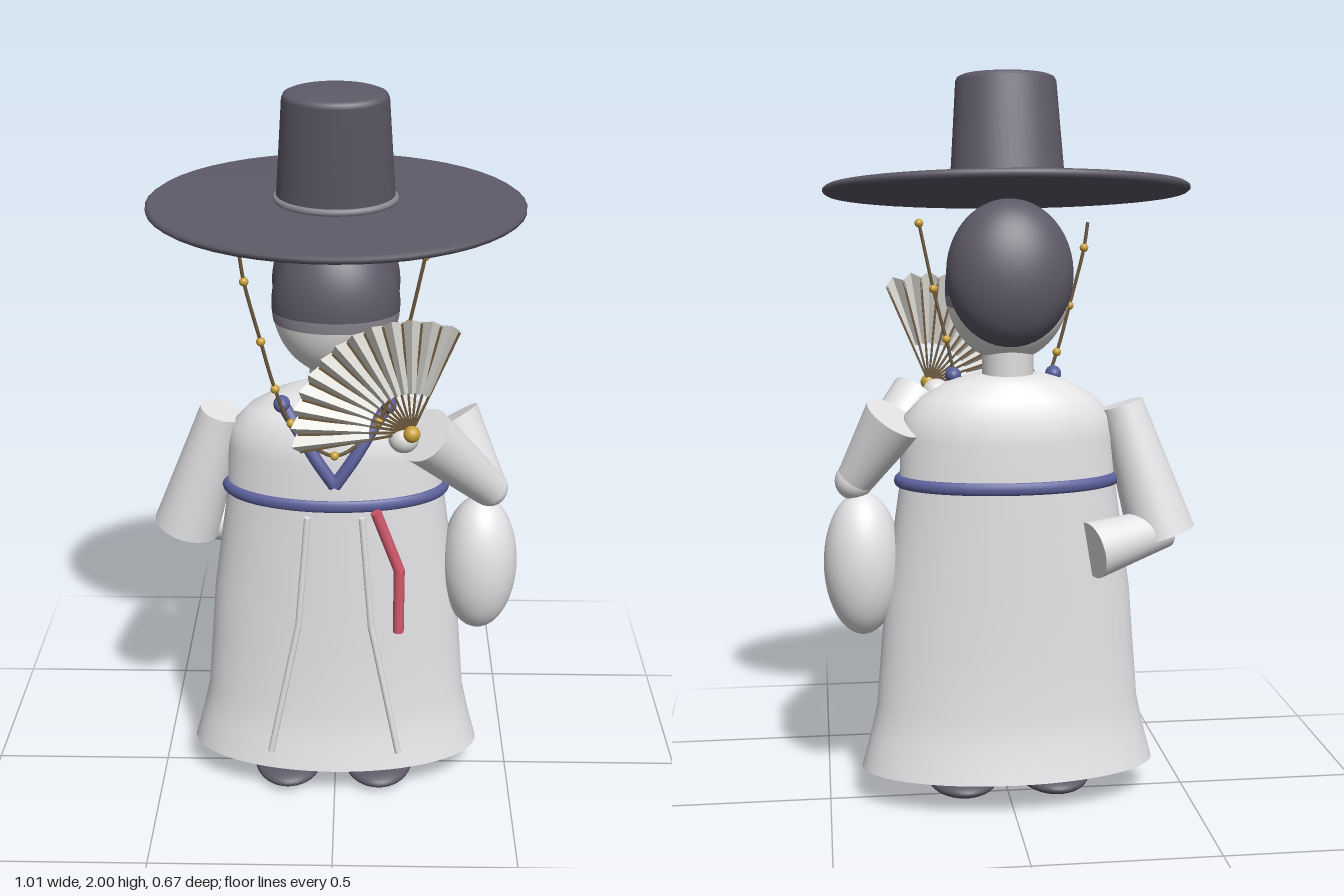
import * as THREE from 'three';
import { mergeVertices } from 'three/addons/utils/BufferGeometryUtils.js';

const V = (x, y, z) => new THREE.Vector3(x, y, z);
const mat = (name, color, side = THREE.FrontSide) => {
  const m = new THREE.MeshStandardMaterial({ color, side });
  m.name = name;
  return m;
};

export function createModel() {
  const root = new THREE.Group();
  const charcoal = mat('charcoal', 0x5d5866);
  const white = mat('robeWhite', 0xe4e4e7);
  const skin = mat('paleSkin', 0xdfdedd);
  const blue = mat('trimBlue', 0x5c619c);
  const pink = mat('ribbonPink', 0xd0586c);
  const gold = mat('beadGold', 0xc9a03a);
  const brown = mat('ribBrown', 0x6b583c);
  const paper = mat('fanPaper', 0xdcdad4, THREE.DoubleSide);
  const grey = mat('bandGrey', 0x8a8690);

  const add = (name, geo, material, parent = root) => {
    const m = new THREE.Mesh(geo, material);
    m.name = name;
    parent.add(m);
    return m;
  };
  const ellipsoid = (name, c, r, material, t0 = 0, t1 = Math.PI) => {
    const m = add(name, new THREE.SphereGeometry(1, 40, 24, 0, Math.PI * 2, t0, t1 - t0), material);
    m.position.set(...c);
    m.scale.set(...r);
    return m;
  };
  // tapered cylinder between two points
  const limb = (name, a, b, ra, rb, material, sides = 32) => {
    const d = b.clone().sub(a);
    const m = add(name, new THREE.CylinderGeometry(rb, ra, d.length(), sides), material);
    m.position.copy(a).addScaledVector(d, 0.5);
    m.quaternion.setFromUnitVectors(V(0, 1, 0), d.normalize());
    return m;
  };
  // elliptical loft through rows of [y, halfWidth, halfDepth]
  const loft = (rows) => {
    const g = new THREE.LatheGeometry(rows.map(r => new THREE.Vector2(1, r[0])), 64, Math.PI);
    const p = g.attributes.position;
    for (let i = 0; i < p.count; i++) {
      const [, rx, rz] = rows[i % rows.length];
      p.setXYZ(i, p.getX(i) * rx, p.getY(i), p.getZ(i) * rz);
    }
    g.deleteAttribute('uv');
    g.deleteAttribute('normal');
    const m = mergeVertices(g, 1e-5);
    m.computeVertexNormals();
    return m;
  };

  // robe with flared hem and rounded shoulders
  add('robe', loft([[0.1, 0.41, 0.2], [0.19, 0.386, 0.18], [0.28, 0.366, 0.167], [0.45, 0.352, 0.162],
    [0.6, 0.34, 0.16], [0.9, 0.297, 0.158], [1.03, 0.293, 0.156], [1.09, 0.282, 0.15],
    [1.14, 0.235, 0.13], [1.18, 0.165, 0.1], [1.2, 0.1, 0.075], [1.205, 0.001, 0.001]]), white);
  const hem = add('hemUnderside', new THREE.CircleGeometry(1, 64), white);
  hem.rotation.x = Math.PI / 2;
  hem.scale.set(0.41, 0.2, 1);
  hem.position.y = 0.1;

  // belt
  const belt = add('belt', new THREE.TorusGeometry(1, 0.055, 12, 64), blue);
  belt.rotation.x = Math.PI / 2;
  belt.scale.set(0.296, 0.16, 0.31);
  belt.position.y = 0.912;

  // crossed collar and hanging cords, both sides
  for (const s of [-1, 1]) {
    add('collar', new THREE.TubeGeometry(new THREE.CatmullRomCurve3([V(s * 0.145, 1.19, 0.09),
      V(s * 0.1, 1.13, 0.135), V(s * 0.05, 1.05, 0.158), V(0, 0.975, 0.163)]), 20, 0.017, 10), blue);
    ellipsoid('collarEnd', [s * 0.14, 1.185, 0.105], [0.022, 0.022, 0.03], blue);
    const pts = [V(s * 0.073, 0.88, 0.16), V(s * 0.1, 0.55, 0.16), V(s * 0.18, 0.15, 0.172)];
    limb('robeCord', pts[0], pts[1], 0.009, 0.009, white, 10);
    limb('robeCord', pts[1], pts[2], 0.009, 0.009, white, 10);
  }

  // pink sash ribbon
  const sash = [V(0.11, 0.905, 0.175), V(0.175, 0.73, 0.172), V(0.175, 0.545, 0.178)];
  for (let i = 0; i < 2; i++) limb('sashRibbon', sash[i], sash[i + 1], 0.015, 0.015, pink, 12);
  ellipsoid('sashBend', [0.175, 0.73, 0.172], [0.015, 0.015, 0.015], pink);

  // shoes
  for (const x of [-0.135, 0.125]) ellipsoid('shoe', [x, 0.04, 0.037], [0.1, 0.034, 0.143], charcoal);

  // neck, face, headband and hair
  limb('neck', V(0, 1.15, 0), V(0, 1.3, 0), 0.07, 0.07, skin);
  const hc = [0, 1.43, 0], hr = [0.168, 0.195, 0.13];
  const theta = y => Math.acos((y - hc[1]) / hr[1]);
  ellipsoid('face', hc, hr, skin, theta(1.385), Math.PI);
  ellipsoid('headband', hc, hr.map(v => v * 1.01), grey, theta(1.415), theta(1.385));
  ellipsoid('hairCap', hc, hr.map(v => v * 1.01), charcoal, 0, theta(1.415));
  const hair = ellipsoid('backHair', [0, 1.475, -0.05], [0.17, 0.197, 0.116], charcoal);
  hair.rotation.x = 0.12;

  // wide brimmed hat, tipped forward
  const hat = new THREE.Group();
  hat.name = 'hat';
  hat.position.set(0, 1.693, 0);
  hat.rotation.x = 0.148;
  root.add(hat);
  const lathe = (pts, sides = 48) => new THREE.LatheGeometry(pts.map(p => new THREE.Vector2(...p)), sides);
  add('hatBrim', lathe([[0, -0.01], [0.48, -0.012], [0.49, -0.005], [0.49, 0.004], [0.48, 0.011], [0, 0.016]]),
    charcoal, hat).scale.z = 0.695;
  add('hatCrown', lathe([[0.155, 0], [0.135, 0.285], [0.13, 0.296], [0.118, 0.301], [0, 0.303]]),
    charcoal, hat).scale.z = 0.68;
  const ring = add('hatCord', new THREE.TorusGeometry(0.152, 0.01, 10, 48), grey, hat);
  ring.rotation.x = Math.PI / 2;
  ring.scale.y = 0.69;
  ring.position.y = 0.022;

  // beaded chin string
  const beads = [[-0.23, 1.53], [-0.19, 1.37], [-0.155, 1.24], [-0.115, 1.145], [0, 1.065],
    [0.115, 1.15], [0.155, 1.28], [0.19, 1.42], [0.228, 1.6]]
    .map(([x, y]) => V(x, y, y < 1.1 ? 0.17 : 0.14));
  add('chinString', new THREE.TubeGeometry(new THREE.CatmullRomCurve3([V(-0.24, 1.6, 0.14), ...beads]), 80, 0.005, 6), brown);
  for (const b of beads) ellipsoid('stringBead', b.toArray(), [0.012, 0.012, 0.012], gold);

  // right arm folded behind the back
  const elbowR = V(-0.42, 0.755, -0.055);
  limb('rightUpperSleeve', V(-0.31, 1.115, -0.02), elbowR, 0.06, 0.093, white);
  limb('rightForeSleeve', V(-0.425, 0.775, -0.06), V(-0.21, 0.735, -0.14), 0.055, 0.078, white);

  // left arm raised, with full hanging sleeve
  const elbowL = V(0.42, 0.91, 0.02);
  limb('leftUpperSleeve', V(0.31, 1.09, -0.035), elbowL, 0.085, 0.05, white);
  limb('leftForeSleeve', elbowL, V(0.235, 1.12, 0.155), 0.052, 0.078, white);
  ellipsoid('leftElbow', elbowL.toArray(), [0.052, 0.052, 0.052], white);
  ellipsoid('hangingSleeve', [0.4, 0.68, 0.015], [0.106, 0.2, 0.106], white);
  ellipsoid('leftHand', [0.18, 1.125, 0.19], [0.04, 0.038, 0.04], skin);

  // pleated folding fan
  const fan = new THREE.Group();
  fan.name = 'fan';
  fan.position.set(0.2, 1.15, 0.218);
  root.add(fan);
  const folds = 26, a0 = 1.17, a1 = 3.34;
  const at = (i, r) => {
    const a = a0 + (a1 - a0) * i / folds, w = (i % 2 ? 1 : -1) * 0.045 * r;
    return [r * Math.cos(a), r * Math.sin(a), w];
  };
  const leaf = [];
  for (let i = 0; i < folds; i++) {
    const R = k => (k % 2 ? 0.312 : 0.298);
    const a = at(i, 0.11), b = at(i, R(i)), c = at(i + 1, R(i + 1)), d = at(i + 1, 0.11);
    leaf.push(...a, ...b, ...c, ...a, ...c, ...d);
  }
  const leafGeo = new THREE.BufferGeometry();
  leafGeo.setAttribute('position', new THREE.Float32BufferAttribute(leaf, 3));
  leafGeo.computeVertexNormals();
  add('fanLeaf', leafGeo, paper, fan);
  for (let i = 0; i <= folds; i += 2) {
    const rib = add('fanRib', new THREE.BoxGeometry(0.295, 0.006, 0.005).translate(0.1475, 0, 0), brown, fan);
    rib.rotation.z = a0 + (a1 - a0) * i / folds;
    rib.position.z = -0.009;
  }
  ellipsoid('fanPivot', [0.2, 1.15, 0.222], [0.022, 0.022, 0.022], gold);

  return root;
}
